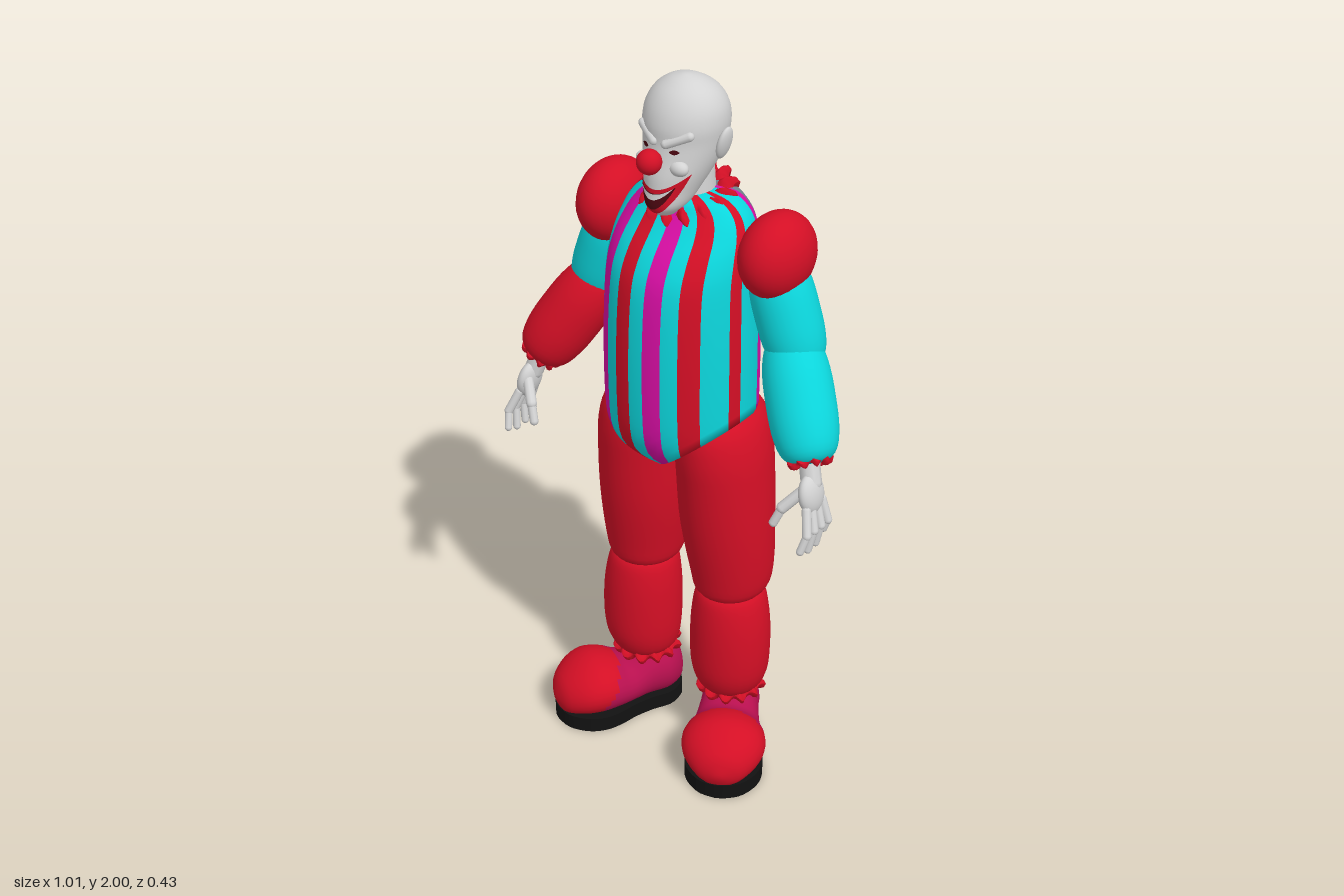
import * as THREE from 'three';

const mat = (name, color) => Object.assign(new THREE.MeshStandardMaterial({ color }), { name });
const red = mat('red', 0xd40f25), cyan = mat('cyan', 0x0cd6dc), magenta = mat('magenta', 0xd80ea4);
const grey = mat('grey', 0x71828d), skin = mat('paleSkin', 0xd3d3d3), plum = mat('plum', 0xb8104f);
const black = mat('black', 0x121212), dark = mat('darkRed', 0x4a0610);
const V = (x, y, z) => new THREE.Vector3(x, y, z);

function add(parent, name, geo, material, x = 0, y = 0, z = 0) {
  const m = new THREE.Mesh(geo, material);
  m.name = name;
  m.position.set(x, y, z);
  parent.add(m);
  return m;
}

// Smooth (Catmull-Rom) value of a row table at t in 0..1
function sample(rows, t) {
  const f = t * (rows.length - 1), i = Math.min(Math.floor(f), rows.length - 2), u = f - i;
  const r = k => rows[Math.max(0, Math.min(rows.length - 1, k))];
  return rows[i].map((_, c) => {
    const [a, b, d, e] = [r(i - 1)[c], r(i)[c], r(i + 1)[c], r(i + 2)[c]];
    return b + 0.5 * u * (d - a + u * (2 * a - 5 * b + 4 * d - e + u * (3 * (b - d) + e - a)));
  });
}
const refine = (rows, n) => Array.from({ length: n + 1 }, (_, i) => sample(rows, i / n));
// Row of a table whose first column is y, interpolated at height y
function rowAt(rows, y) {
  const found = rows.findIndex(r => r[0] >= y), i = found < 0 ? rows.length - 1 : Math.max(1, found);
  const p = rows[i - 1], q = rows[i], u = THREE.MathUtils.clamp((y - p[0]) / (q[0] - p[0]), 0, 1);
  return p.map((v, c) => THREE.MathUtils.lerp(v, q[c], u));
}

// Closed skin over cross-section rings, with an optional material index per face
function loft(rings, colourOf = () => 0) {
  const n = rings[0].length, pos = rings.flat(2), last = rings.length - 1, buckets = [];
  const put = (k, ...v) => (buckets[k] ??= []).push(...v);
  for (const ring of [rings[0], rings[last]])
    for (let c = 0; c < 3; c++) pos.push(ring.reduce((s, p) => s + p[c], 0) / n);
  const start = n * rings.length;
  for (let j = 0; j < n; j++) {
    const k = (j + 1) % n, e = last * n;
    put(colourOf(0, j), start, k, j);
    put(colourOf(last, j), start + 1, e + j, e + k);
    for (let i = 0; i < last; i++) {
      const a = i * n, b = a + n;
      put(colourOf(i, j), a + j, a + k, b + k, a + j, b + k, b + j);
    }
  }
  const g = new THREE.BufferGeometry();
  g.setAttribute('position', new THREE.Float32BufferAttribute(pos, 3));
  g.setIndex(buckets.flat());
  let at = 0;
  buckets.forEach((b, k) => { g.addGroup(at, b.length, k); at += b.length; });
  if (buckets.length < 2) g.clearGroups();
  g.computeVertexNormals();
  return g;
}
const angles = n => Array.from({ length: n }, (_, i) => i / n * Math.PI * 2);
// Rows are [y, centreX, centreZ, radiusX, radiusZ]
const column = rows => loft(refine(rows, 24).map(([y, cx, cz, rx, rz]) =>
  angles(28).map(a => [cx + rx * Math.sin(a), y, cz + rz * Math.cos(a)])));

// Aim a y-axis mesh from a to b
function aim(mesh, a, b) {
  mesh.position.copy(a).lerp(b, 0.5);
  mesh.quaternion.setFromUnitVectors(V(0, 1, 0), b.clone().sub(a).normalize());
  return mesh;
}
const capsule = (parent, name, a, b, r, m) =>
  aim(add(parent, name, new THREE.CapsuleGeometry(r, a.distanceTo(b), 5, 10), m), a, b);
function sausage(parent, name, a, b, r, m) {
  const h = a.distanceTo(b) / 2;
  const prof = [[0, -1], [0.55, -0.97], [0.82, -0.82], [0.97, -0.45], [1, 0], [0.97, 0.45], [0.82, 0.8], [0.5, 0.97], [0, 1]];
  const pts = refine(prof, 24).map(([x, y]) => new THREE.Vector2(Math.max(0, x * r), y * h));
  return aim(add(parent, name, new THREE.LatheGeometry(pts, 28), m), a, b);
}
function ball(parent, name, m, x, y, z, rx, ry = rx, rz = rx) {
  const s = add(parent, name, new THREE.SphereGeometry(1, 28, 20), m, x, y, z);
  s.scale.set(rx, ry, rz);
  return s;
}
// Wavy fabric ring
function ruffle(R, tube, waves) {
  const g = new THREE.TorusGeometry(R, tube, 8, waves * 8), p = g.attributes.position;
  for (let i = 0; i < p.count; i++) {
    const a = Math.atan2(p.getY(i), p.getX(i)), k = 1 + 0.09 * Math.sin(a * waves);
    p.setXYZ(i, p.getX(i) * k, p.getY(i) * k, p.getZ(i) + tube * 0.5 * Math.cos(a * waves));
  }
  g.rotateX(Math.PI / 2);
  g.computeVertexNormals();
  return g;
}

// Torso: vertical stripes in front, plain back, V-shaped lower edge
function torso(parent) {
  const deg = x => Math.asin(x / 0.2) * 180 / Math.PI;
  const bands = [[-120, 1], [-108, 0], [-83, 1], [deg(-0.19), 0], [deg(-0.155), 2], [deg(-0.11), 0], [deg(-0.068), 1],
    [deg(-0.022), 0], [deg(0.02), 2], [deg(0.067), 0], [deg(0.107), 1], [deg(0.15), 0], [deg(0.19), 1], [83, 0], [108, 2], [120, 3], [240, 3]];
  const cols = [];
  for (let b = 0; b < bands.length - 1; b++) {
    const n = bands[b][1] === 3 ? 20 : 4;
    for (let i = 0; i < n; i++)
      cols.push([THREE.MathUtils.lerp(bands[b][0], bands[b + 1][0], i / n) * Math.PI / 180, bands[b][1]]);
  }
  // [y, half width, front z, back z]
  const table = refine([[0.93, 0.2, 0.08, -0.14], [0.97, 0.2, 0.125, -0.18], [1.02, 0.202, 0.163, -0.2], [1.1, 0.205, 0.18, -0.21],
    [1.3, 0.205, 0.182, -0.212], [1.48, 0.2, 0.168, -0.205], [1.56, 0.195, 0.135, -0.195], [1.62, 0.183, 0.085, -0.18],
    [1.66, 0.16, 0.055, -0.165], [1.69, 0.12, 0.04, -0.145], [1.7, 0.06, 0.01, -0.1]], 60);
  const rings = [];
  for (let i = -1; i <= 36; i++) rings.push(cols.map(([a]) => {
    const low = 0.93 + 0.17 * Math.abs(Math.sin(a)), t = 1 - (1 - Math.max(0, i) / 36) ** 1.6;
    const y = low + (1.7 - low) * t, [, w, f, b] = rowAt(table, y), k = i < 0 ? 0.7 : 1;
    return [w * k * Math.sin(a), i < 0 ? y + 0.01 : y, (f + b) / 2 + (f - b) / 2 * k * Math.cos(a)];
  }));
  add(parent, 'torso', loft(rings, (i, j) => cols[j][1]), [cyan, red, magenta, grey]);
}

// Head rows: [y, half width, front z, back z]
const headRows = refine([[1.662, 0.025, 0.08, 0.01], [1.69, 0.05, 0.105, -0.03], [1.73, 0.067, 0.102, -0.07],
  [1.77, 0.083, 0.098, -0.105], [1.81, 0.096, 0.088, -0.13], [1.85, 0.104, 0.08, -0.142], [1.89, 0.108, 0.078, -0.145],
  [1.93, 0.101, 0.066, -0.135], [1.965, 0.079, 0.043, -0.11], [1.99, 0.043, 0.01, -0.07], [2, 0.008, -0.02, -0.035]], 40);
function faceZ(x, y) {
  const [, w, f, b] = rowAt(headRows, y);
  return (f + b) / 2 + (f - b) / 2 * Math.sqrt(Math.max(0, 1 - (x / w) ** 2));
}
// Thin painted patch following the face between two curves
function facePatch(parent, name, m, cx, half, top, bottom, lift) {
  const g = new THREE.PlaneGeometry(2, 1, 24, 6), p = g.attributes.position;
  for (let i = 0; i < p.count; i++) {
    const u = THREE.MathUtils.clamp(p.getX(i), -1, 1), x = cx + u * half;
    const y = THREE.MathUtils.lerp(bottom(u), top(u), p.getY(i) + 0.5);
    p.setXYZ(i, x, y, faceZ(x, y) + lift);
  }
  g.computeVertexNormals();
  add(parent, name, g, m);
}
function head(parent) {
  const h = new THREE.Group();
  h.name = 'head';
  parent.add(h);
  add(h, 'skull', loft(headRows.map(([y, w, f, b]) => angles(36).map(a =>
    [w * Math.sin(a), y, (f + b) / 2 + (f - b) / 2 * Math.cos(a)]))), skin);
  add(h, 'neck', new THREE.CylinderGeometry(0.06, 0.07, 0.16, 24), skin, 0, 1.72, -0.045);
  ball(h, 'nose', red, 0, 1.82, 0.118, 0.032);
  // Grin: painted lips, open mouth, teeth
  facePatch(h, 'lips', red, 0, 0.076, u => 1.742 + 0.04 * u * u, u => 1.675 + 0.107 * u * u, 0.004);
  facePatch(h, 'mouth', dark, 0, 0.052, u => 1.732 + 0.02 * u * u, u => 1.69 + 0.062 * u * u, 0.006);
  facePatch(h, 'teeth', skin, 0, 0.048, u => 1.731 + 0.018 * u * u, u => 1.716 + 0.033 * u * u, 0.008);
  const eyeCurve = u => 0.006 * (1 - u * u);
  for (const s of [-1, 1]) {
    ball(h, 'ear', skin, s * 0.112, 1.845, -0.035, 0.013, 0.045, 0.027).rotation.z = -s * 0.25;
    capsule(h, 'brow', V(s * 0.018, 1.856, 0.076), V(s * 0.07, 1.88, 0.05), 0.012, skin);
    ball(h, 'cheek', skin, s * 0.05, 1.797, 0.066, 0.027, 0.02, 0.02);
    facePatch(h, 'eye', dark, s * 0.043, 0.012, u => 1.84 + eyeCurve(u), u => 1.84 - eyeCurve(u), 0.004);
  }
}

function arm(parent, s) {
  const g = new THREE.Group(), P = (x, y, z) => V(s * x, y, z);
  g.name = s > 0 ? 'leftArm' : 'rightArm';
  parent.add(g);
  ball(g, 'shoulderPuff', red, s * 0.255, 1.573, -0.066, 0.088, 0.112, 0.12);
  sausage(g, 'upperArm', P(0.235, 1.56, -0.075), P(0.335, 1.275, -0.07), 0.084, cyan);
  sausage(g, 'forearm', P(0.295, 1.35, -0.075), P(0.445, 1.085, 0.04), 0.089, s > 0 ? cyan : red);
  const dir = P(0.15, -0.265, 0.11).normalize();
  add(g, 'cuff', ruffle(0.043, 0.013, 9), red, s * 0.438, 1.092, 0.035).quaternion.setFromUnitVectors(V(0, 1, 0), dir);
  // Hand
  capsule(g, 'wrist', P(0.435, 1.1, 0.035), P(0.455, 1.04, 0.05), 0.027, skin);
  ball(g, 'palm', skin, s * 0.462, 1.015, 0.06, 0.025, 0.055, 0.045).rotation.z = s * 0.2;
  for (let i = 0; i < 4; i++) {
    const mid = P(0.492, 0.928, 0.118 - 0.031 * i);
    capsule(g, 'finger', P(0.472, 0.985, 0.094 - 0.023 * i), mid, 0.012, skin);
    capsule(g, 'fingerTip', mid, P(0.483, [0.885, 0.872, 0.875, 0.9][i], 0.133 - 0.035 * i), 0.0105, skin);
  }
  capsule(g, 'thumb', P(0.452, 1.03, 0.08), P(0.412, 0.98, 0.114), 0.015, skin);
  capsule(g, 'thumbTip', P(0.412, 0.98, 0.114), P(0.395, 0.935, 0.126), 0.012, skin);
}

function leg(parent, s) {
  const g = new THREE.Group();
  g.name = s > 0 ? 'leftLeg' : 'rightLeg';
  parent.add(g);
  add(g, 'thigh', column([[0.52, s * 0.145, -0.045, 0.05, 0.055], [0.535, s * 0.145, -0.045, 0.095, 0.1],
    [0.6, s * 0.145, -0.047, 0.113, 0.118], [0.75, s * 0.137, -0.037, 0.125, 0.133], [0.9, s * 0.132, -0.032, 0.124, 0.143],
    [1.0, s * 0.127, -0.03, 0.118, 0.148], [1.08, s * 0.122, -0.03, 0.095, 0.135], [1.13, s * 0.12, -0.03, 0.04, 0.07]]), red);
  add(g, 'shin', column([[0.19, s * 0.15, -0.045, 0.06, 0.07], [0.22, s * 0.15, -0.04, 0.092, 0.092], [0.28, s * 0.152, -0.036, 0.109, 0.107],
    [0.38, s * 0.152, -0.036, 0.112, 0.11], [0.47, s * 0.15, -0.037, 0.105, 0.105], [0.53, s * 0.148, -0.04, 0.088, 0.092], [0.545, s * 0.148, -0.04, 0.05, 0.05]]), red);
  add(g, 'ankleRuffle', ruffle(0.075, 0.018, 12), red, s * 0.148, 0.197, -0.048);

  // Shoe rows: [z, half width, top, bottom], heel to toe
  const shoe = new THREE.Group();
  shoe.name = 'shoe';
  shoe.position.set(s * 0.14, 0, -0.06);
  shoe.rotation.y = s * 0.52;
  g.add(shoe);
  const rows = refine([[-0.088, 0.012, 0.12, 0.08], [-0.075, 0.045, 0.165, 0.04], [-0.03, 0.078, 0.2, 0.025], [0.03, 0.082, 0.195, 0.025],
    [0.09, 0.093, 0.165, 0.025], [0.14, 0.11, 0.183, 0.025], [0.19, 0.117, 0.19, 0.025], [0.24, 0.103, 0.172, 0.028], [0.285, 0.062, 0.135, 0.035], [0.302, 0.012, 0.09, 0.07]], 30);
  add(shoe, 'upper', loft(rows.map(([z, w, t, b]) => angles(28).map(a =>
    [w * Math.cos(a), (t + b) / 2 + (t - b) / 2 * Math.sin(a), z])),
  (i, j) => (rows[i][0] + 0.05 * Math.sin((j + 0.5) / 28 * Math.PI * 2) > 0.16 ? 1 : 0)), [plum, red]);
  const half = rows.map(([z, w]) => new THREE.Vector2(w * 0.93, -z * 0.98));
  const outline = new THREE.Shape([...half, ...half.map(p => new THREE.Vector2(-p.x, p.y)).reverse()]);
  add(shoe, 'sole', new THREE.ExtrudeGeometry(outline, { depth: 0.045, bevelEnabled: false }).rotateX(-Math.PI / 2), black);
}

export function createModel() {
  const model = new THREE.Group();
  model.name = 'clownFigure';
  torso(model);
  head(model);
  add(model, 'collar', ruffle(0.096, 0.023, 14), red, 0, 1.672, -0.045).rotation.x = 0.25;
  for (const s of [-1, 1]) {
    arm(model, s);
    leg(model, s);
  }
  return model;
}
